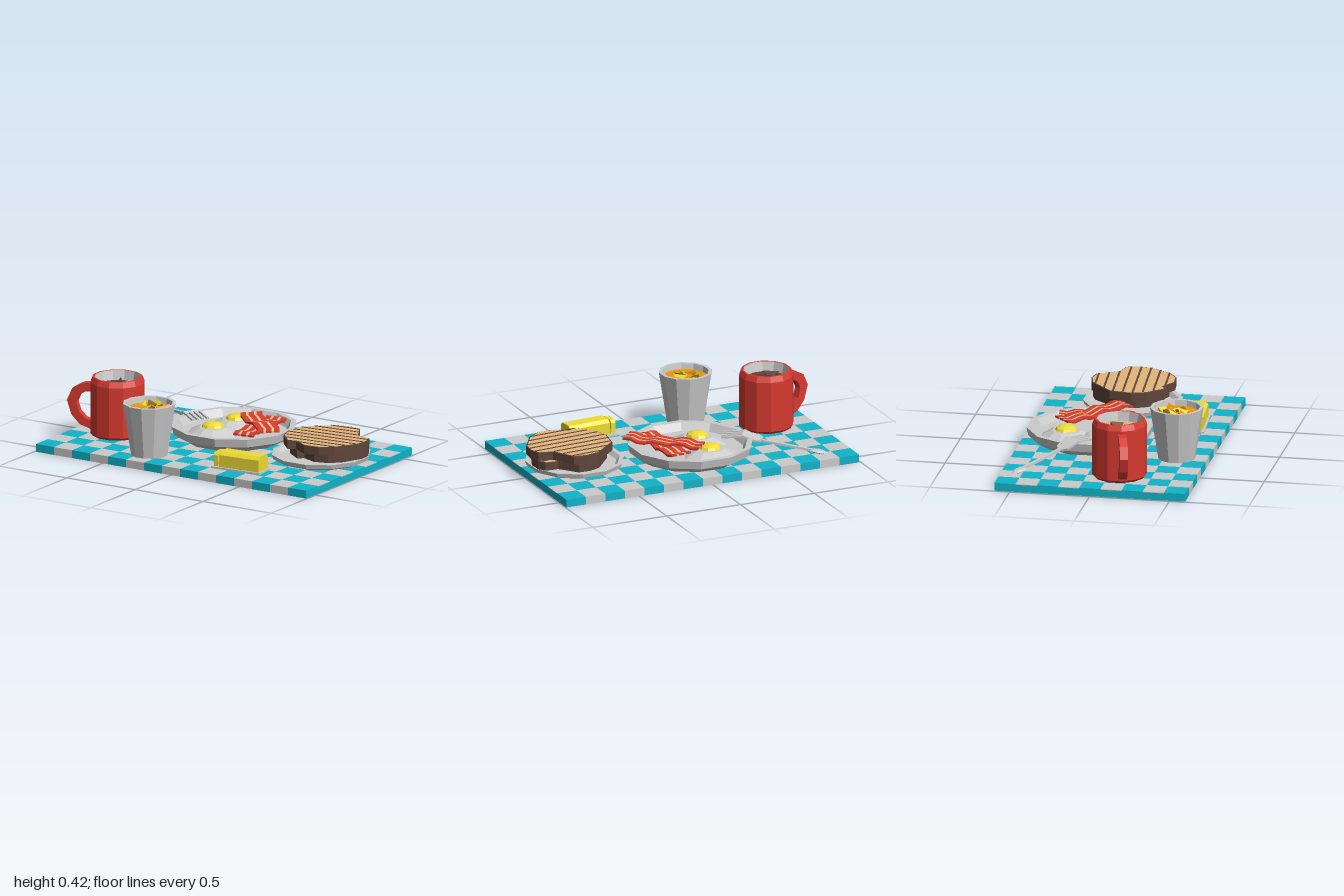
import * as THREE from 'three';

const mat = (color, side = THREE.FrontSide) => new THREE.MeshStandardMaterial({ color, flatShading: true, side });
const GREY = mat(0xcccccc), TEAL = mat(0x10b4ca), RED = mat(0xd63a30), BROWN = mat(0x5f463b), TAN = mat(0xe3b67c);
const YELLOW = mat(0xeedc35), ORANGE = mat(0xf0960c), FAT = mat(0xeac08c), MEAT = mat(0xd43c2e), OCHRE = mat(0x8a6a10);

function add(parent, name, geo, material, x = 0, y = 0, z = 0) {
  const m = new THREE.Mesh(geo, material);
  m.name = name;
  m.position.set(x, y, z);
  parent.add(m);
  return m;
}
function group(parent, name, x = 0, y = 0, z = 0, turn = 0) {
  const g = new THREE.Group();
  g.name = name;
  g.position.set(x, y, z);
  g.rotation.y = turn;
  parent.add(g);
  return g;
}
const points = list => list.map(([x, y]) => new THREE.Vector2(x, y));
const lathe = (list, sides = 12) => new THREE.LatheGeometry(points(list), sides).rotateY(Math.PI / sides);

// Chequered board: striped slab below, alternating tiles on top
function board(root) {
  const g = group(root, 'tableMat', 0.0025);
  const w = 1.985 / 15, d = 1.195 / 9;
  for (let i = 0; i < 15; i++) {
    const x = (i - 7) * w;
    add(g, 'slabStripe', new THREE.BoxGeometry(w, 0.045, d * 9), i % 2 ? GREY : TEAL, x, 0.0225, 0);
    for (let j = 0; j < 9; j++)
      add(g, 'tile', new THREE.BoxGeometry(w, 0.005, d), (i + j) % 2 ? GREY : TEAL, x, 0.0475, (j - 4) * d);
  }
}

// Mug with C-shaped handle, pale lining and a drink
function mug(root) {
  const g = group(root, 'mug', -0.695, 0, 0.13);
  add(g, 'mugBody', lathe([[0, 0.05], [0.158, 0.05], [0.17, 0.065], [0.17, 0.385], [0.155, 0.42], [0.142, 0.42]]), RED);
  add(g, 'mugLining', lathe([[0.142, 0.42], [0.125, 0.34]]), GREY);
  const arm = [[0.15, 0.37], [0.22, 0.362], [0.285, 0.325], [0.318, 0.25], [0.29, 0.16], [0.235, 0.1], [0.15, 0.07],
    [0.15, 0.125], [0.2, 0.14], [0.24, 0.18], [0.258, 0.24], [0.235, 0.29], [0.2, 0.31], [0.15, 0.315]];
  const geo = new THREE.ExtrudeGeometry(new THREE.Shape(points(arm.map(([u, y]) => [-u, y]))), { depth: 0.05, bevelEnabled: false });
  add(g, 'mugHandle', geo.translate(0, 0, -0.025), RED).rotation.y = 0.28;
  add(g, 'coffee', new THREE.CylinderGeometry(0.133, 0.133, 0.01, 12), BROWN, 0, 0.355, 0);
  const cream = add(g, 'cream', new THREE.CylinderGeometry(0.125, 0.125, 0.012, 5, 1, false, 0.9, 2.3), TAN, 0.005, 0.357, 0);
  cream.material = TAN;
  [[-0.045, 0.03, 0.4], [0.01, -0.02, 1.3]].forEach(([x, z, a]) =>
    add(g, 'coffeeLump', new THREE.TetrahedronGeometry(0.06), BROWN, x, 0.355, z).rotation.set(a, a, 0.3));
}

// Tapered tumbler with faceted juice
function tumbler(root) {
  const g = group(root, 'tumbler', -0.278, 0, 0.41);
  add(g, 'glass', lathe([[0, 0.05], [0.115, 0.05], [0.166, 0.378], [0.145, 0.378], [0.135, 0.31]]), GREY);
  add(g, 'juice', new THREE.CylinderGeometry(0.14, 0.138, 0.01, 12), ORANGE, 0, 0.338, 0);
  for (let i = 0; i < 8; i++) {
    const a = i * 2.4, r = 0.035 + 0.055 * (i % 3) / 2;
    const chunk = add(g, 'juiceChunk', new THREE.TetrahedronGeometry(0.055), [YELLOW, ORANGE, YELLOW, OCHRE][i % 4],
      r * Math.cos(a), 0.338, r * Math.sin(a));
    chunk.rotation.set(a, a * 1.7, a * 0.6);
    chunk.scale.y = 0.7;
  }
}

function plate(parent, r, h) {
  add(parent, 'plate', lathe([[0, 0], [r * 0.78, 0], [r * 0.97, h * 0.45], [r, h], [r * 0.91, h], [r * 0.84, h * 0.5], [0, h * 0.42]]), GREY);
}

// Fried egg: uneven low dome with a yolk
function egg(parent, x, z, seed) {
  const g = group(parent, 'friedEgg', x, 0.09, z, seed);
  const white = new THREE.CylinderGeometry(0.09, 0.17, 0.04, 11, 1);
  const p = white.attributes.position;
  for (let i = 0; i < p.count; i++) {
    const a = Math.atan2(p.getZ(i), p.getX(i)), k = 1 + 0.06 * Math.sin(3 * a + seed) + 0.04 * Math.cos(2 * a);
    p.setX(i, p.getX(i) * k);
    p.setZ(i, p.getZ(i) * k);
  }
  add(g, 'eggWhite', white, GREY, 0, 0.025, 0);
  add(g, 'yolk', new THREE.SphereGeometry(0.07, 9, 3, 0, Math.PI * 2, 0, Math.PI / 2).scale(1, 0.45, 1), YELLOW, 0, 0.045, 0);
}

// Wavy striped rasher between two points
function bacon(parent, a, b, y, bend) {
  const dx = b[0] - a[0], dz = b[1] - a[1], len = Math.hypot(dx, dz);
  const g = group(parent, 'bacon', (a[0] + b[0]) / 2, y, (a[1] + b[1]) / 2, -Math.atan2(dz, dx));
  const widths = [0.036, 0.016, 0.034, 0.016, 0.036];
  let z = -0.069;
  widths.forEach((w, k) => {
    const geo = new THREE.BoxGeometry(len, 0.012, w, 10, 1, 1).translate(0, 0, z + w / 2);
    const p = geo.attributes.position;
    for (let i = 0; i < p.count; i++) {
      const t = p.getX(i) / len;
      p.setY(i, p.getY(i) + 0.009 * Math.sin(t * 19));
      p.setZ(i, p.getZ(i) + bend * Math.sin(t * 2 * Math.PI));
    }
    add(g, k % 2 ? 'baconFat' : 'baconMeat', geo, k % 2 ? FAT : MEAT);
    z += w;
  });
  return g;
}

// Fork: local +x points to the tines
function fork(root) {
  const g = group(root, 'fork', -0.45, 0.125, -0.272, -0.59);
  const tilt = group(g, 'forkHandle');
  tilt.rotation.z = 0.145;
  add(tilt, 'handleRod', new THREE.BoxGeometry(0.36, 0.014, 0.022), GREY, -0.18, 0, 0);
  add(tilt, 'handleEnd', new THREE.SphereGeometry(1, 8, 4).scale(0.058, 0.011, 0.034), GREY, -0.385, 0, 0);
  const s = new THREE.Shape(points([[-0.03, -0.011], [0.0, -0.045], [0.1, -0.058], [0.1, 0.058], [0.0, 0.045], [-0.03, 0.011]]));
  const neck = new THREE.ExtrudeGeometry(s, { depth: 0.014, bevelEnabled: false }).rotateX(-Math.PI / 2);
  add(g, 'forkHead', neck, GREY, 0, -0.005, 0).rotation.z = 0.36;
  for (let i = 0; i < 4; i++)
    add(g, 'tine', new THREE.BoxGeometry(0.135, 0.012, 0.015), GREY, 0.15, 0.026, (i - 1.5) * 0.033).rotation.z = -0.1;
}

// Slice of toast with crust and grill lines clipped to its outline
const OUTLINE = [[-0.25, 0.01], [-0.225, -0.13], [-0.07, -0.27], [0.02, -0.29], [0.1, -0.275], [0.18, -0.14], [0.27, -0.12],
  [0.295, -0.06], [0.285, 0.03], [0.2, 0.17], [0.12, 0.225], [0.02, 0.235], [-0.03, 0.205], [-0.08, 0.175], [-0.12, 0.205], [-0.22, 0.1]];
function toast(parent, name, x, y, z, scale, h, turn) {
  const g = group(parent, name, x, y, z, turn);
  g.scale.set(scale, 1, scale);
  const shape = k => new THREE.Shape(points(OUTLINE.map(([px, pz]) => [px * k, -pz * k])));
  add(g, 'crust', new THREE.ExtrudeGeometry(shape(1), { depth: h, bevelEnabled: false }).rotateX(-Math.PI / 2), BROWN);
  add(g, 'crumb', new THREE.ShapeGeometry(shape(0.97)).rotateX(-Math.PI / 2), TAN, 0, h + 0.002, 0);
  const slope = -0.08;
  for (let c = -0.25; c < 0.23; c += 0.062) {
    const hits = [];
    OUTLINE.forEach((a, i) => {
      const b = OUTLINE[(i + 1) % OUTLINE.length];
      const da = a[1] - slope * a[0] - c, db = b[1] - slope * b[0] - c;
      if (da * db < 0) hits.push(a[0] + (b[0] - a[0]) * da / (da - db));
    });
    if (hits.length < 2) continue;
    const lo = Math.min(...hits) + 0.008, hi = Math.max(...hits) - 0.008, mid = (lo + hi) / 2;
    add(g, 'grillLine', new THREE.BoxGeometry(hi - lo, 0.004, 0.012), BROWN, mid, h + 0.002, c + slope * mid).rotation.y = -Math.atan(slope);
  }
}

// Butter block with a cut pat, on a small tray
function butter(root) {
  const g = group(root, 'butterDish', 0.385, 0, 0.4, 0.07);
  add(g, 'tray', new THREE.BoxGeometry(0.34, 0.012, 0.145), GREY, 0, 0.058, 0);
  const block = (name, x, len, k) => {
    const s = new THREE.Shape(points([[-0.06, 0], [0.06, 0], [0.06, 0.075], [0.04, 0.095], [-0.04, 0.095], [-0.06, 0.075]].map(([a, b]) => [a * k, b * k])));
    const geo = new THREE.ExtrudeGeometry(s, { depth: len, bevelEnabled: false }).rotateY(Math.PI / 2);
    return add(g, name, geo, YELLOW, x, 0.064, 0);
  };
  block('butterBlock', -0.118, 0.278, 1);
  block('butterPat', -0.158, 0.032, 0.9).rotation.z = 0.06;
}

export function createModel() {
  const root = new THREE.Group();
  root.name = 'breakfast';
  board(root);
  mug(root);
  tumbler(root);
  fork(root);
  butter(root);

  const main = group(root, 'mainPlate', -0.04, 0, -0.18);
  plate(group(main, 'dish', 0, 0.05, 0), 0.392, 0.095);
  egg(main, -0.07, -0.135, 0.6);
  egg(main, -0.092, 0.1, 2.3);
  bacon(main, [0.165, -0.225], [0.22, 0.235], 0.155, 0.012);
  bacon(main, [0.01, -0.18], [0.36, 0.165], 0.177, -0.02).rotation.z = 0.02;

  const side = group(root, 'toastPlate', 0.685, 0, -0.048);
  plate(group(side, 'dish', 0, 0.05, 0), 0.31, 0.05);
  toast(side, 'lowerToast', 0.035, 0.1, 0.005, 0.9, 0.05, 0.15);
  toast(side, 'upperToast', 0.02, 0.156, 0.02, 1, 0.052, 0);
  return root;
}
